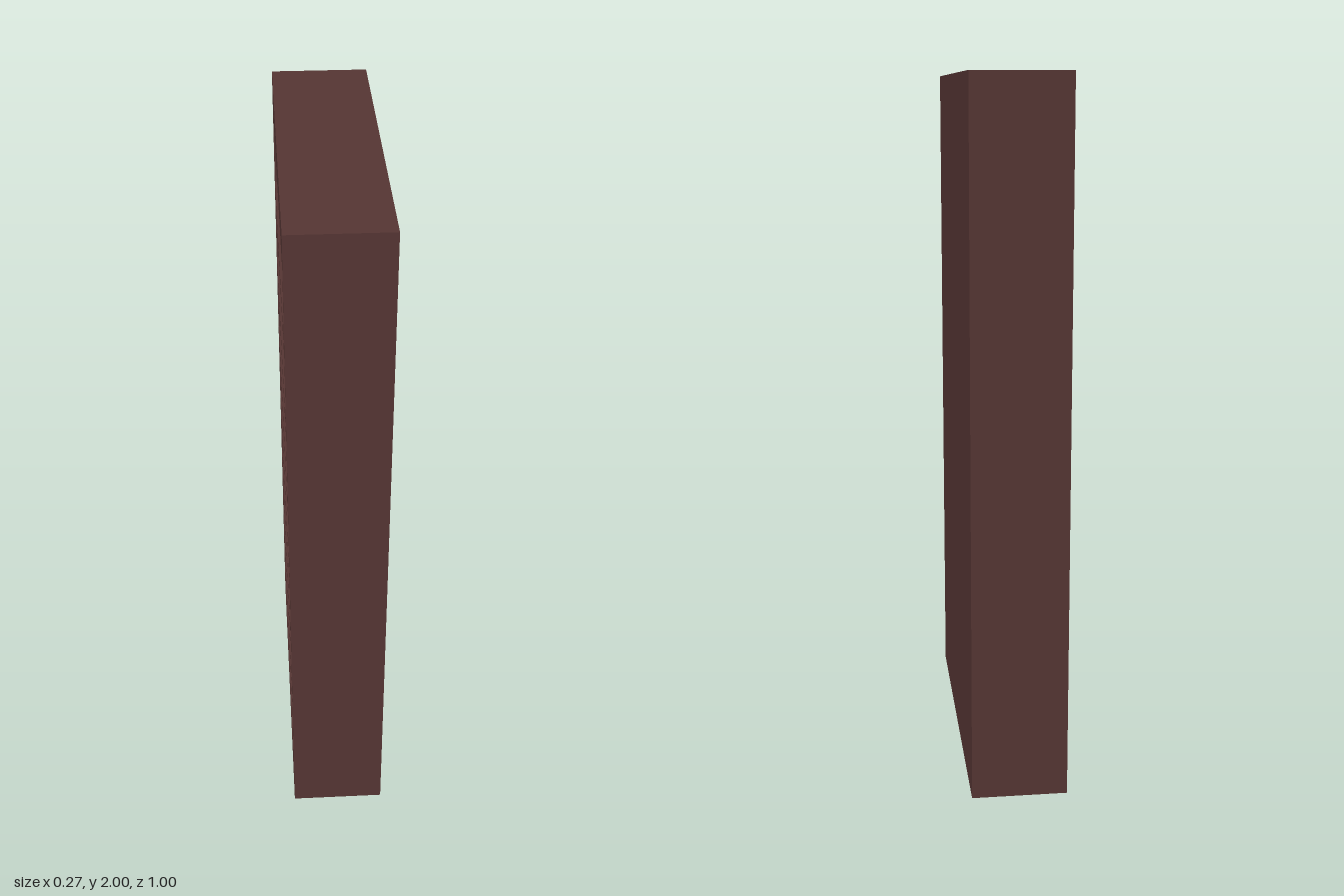
import * as THREE from 'three';

export function createModel() {
  const model = new THREE.Group();
  model.name = 'bookcase';
  const wood = new THREE.MeshStandardMaterial({ color: 0x563634 });
  wood.name = 'dark brown wood';

  // Overall size and board thicknesses; the open side faces -x
  const depth = 0.272, height = 2, width = 1;
  const board = 0.034, panel = 0.02;
  const baseTop = 0.126, topUnderside = 1.889;
  const innerWidth = width - 2 * board;
  const innerDepth = depth - panel;
  const innerX = -panel / 2;

  function addBoard(name, sx, sy, sz, x, bottom, z) {
    const mesh = new THREE.Mesh(new THREE.BoxGeometry(sx, sy, sz), wood);
    mesh.name = name;
    mesh.position.set(x, bottom + sy / 2, z);
    model.add(mesh);
  }

  // Closed panel behind the shelves
  addBoard('backPanel', panel, height, width, (depth - panel) / 2, 0, 0);

  // Upright ends
  for (const side of [-1, 1]) {
    addBoard(side > 0 ? 'frontUpright' : 'rearUpright', innerDepth, height, board,
      innerX, 0, side * (width - board) / 2);
  }

  // Base plinth and top board
  addBoard('base', innerDepth, baseTop, innerWidth, innerX, 0, 0);
  addBoard('top', innerDepth, height - topUnderside, innerWidth, innerX, topUnderside, 0);

  // Six evenly spaced shelves
  for (let i = 0; i < 6; i++) {
    const shelfTop = 1.67 - i * 0.253;
    addBoard('shelf' + (i + 1), innerDepth, board, innerWidth, innerX, shelfTop - board, 0);
  }

  return model;
}
